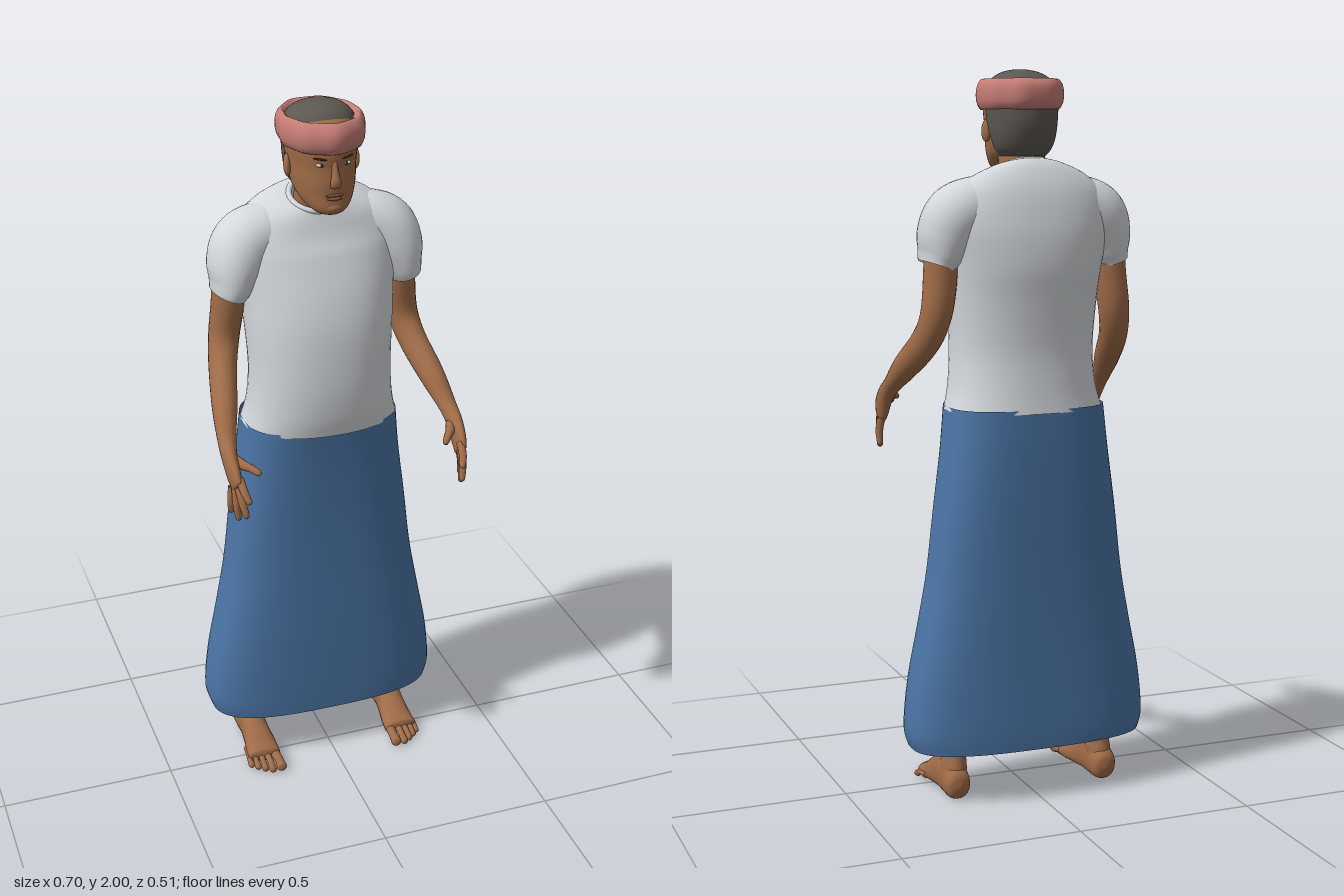
import * as THREE from 'three';

const mat = (name, color) => new THREE.MeshStandardMaterial({ name, color, side: THREE.DoubleSide });

// Smooth interpolation through a list of equally spaced cross-sections
function sample(pts, t) {
  const last = pts.length - 1, u = t * last, i = Math.min(Math.floor(u), last - 1), f = u - i;
  const at = k => pts[Math.min(Math.max(k, 0), last)];
  const [a, b, c, d] = [at(i - 1), at(i), at(i + 1), at(i + 2)];
  return b.map((_, k) => b[k] + 0.5 * f * (c[k] - a[k]
    + f * (2 * a[k] - 5 * b[k] + 4 * c[k] - d[k] + f * (3 * (b[k] - c[k]) + d[k] - a[k]))));
}

// Skin over cross-sections [x, y, z, half width, half depth, squareness]
// level: sections stay horizontal; otherwise they follow the path
function loft(pts, { level = false, rows = 32, cols = 32, arc = null, start = 0, end = 0, n = 2 } = {}) {
  const pos = [], index = [], X = new THREE.Vector3(1, 0, 0);
  const [a0, a1] = arc || [0, Math.PI * 2], ring = arc ? cols + 1 : cols;
  for (let i = 0; i <= rows; i++) {
    const t = i / rows, p = sample(pts, t);
    const T = new THREE.Vector3(0, 1, 0);
    if (!level) {
      const q0 = sample(pts, Math.max(t - 0.01, 0)), q1 = sample(pts, Math.min(t + 0.01, 1));
      T.set(q1[0] - q0[0], q1[1] - q0[1], q1[2] - q0[2]).normalize();
    }
    const S = X.clone().addScaledVector(T, -T.x).normalize();
    const N = S.clone().cross(T);
    let r = 1;
    if (start && t < start) r = Math.sqrt(1 - (1 - t / start) ** 2);
    if (end && t > 1 - end) r = Math.sqrt(Math.max(0, 1 - ((t - 1 + end) / end) ** 2));
    const e = 2 / (p[5] || n);
    for (let j = 0; j < ring; j++) {
      const a = a0 + (a1 - a0) * j / cols, c = Math.cos(a), s = Math.sin(a);
      const u = Math.sign(c) * Math.abs(c) ** e * p[3] * r;
      const v = Math.sign(s) * Math.abs(s) ** e * p[4] * r;
      pos.push(p[0] + S.x * u + N.x * v, p[1] + S.y * u + N.y * v, p[2] + S.z * u + N.z * v);
      if (i < rows && (!arc || j < cols)) {
        const k = i * ring + j, m = i * ring + (j + 1) % ring;
        index.push(k, k + ring, m, m, k + ring, m + ring);
      }
    }
  }
  const g = new THREE.BufferGeometry();
  g.setAttribute('position', new THREE.Float32BufferAttribute(pos, 3));
  g.setIndex(index);
  g.computeVertexNormals();
  return g;
}

// Level section from height, half width, front z and back z
const lev = (y, w, front, back) => [0, y, (front + back) / 2, w, (front - back) / 2];

function moveVertices(g, rule) {
  const p = g.attributes.position, v = new THREE.Vector3();
  for (let i = 0; i < p.count; i++) {
    rule(v.fromBufferAttribute(p, i));
    p.setXYZ(i, v.x, v.y, v.z);
  }
  g.computeVertexNormals();
  return g;
}

export function createModel() {
  const model = new THREE.Group();
  const skin = mat('skin', 0xa06c48), shirt = mat('shirt white', 0xd4d8dc), blue = mat('skirt blue', 0x4b74a5);
  const pink = mat('headband pink', 0xc67d76), hairMat = mat('hair grey', 0x5c5751);
  const white = mat('eye white', 0xd8d2c8), dark = mat('eye dark', 0x33271f), lip = mat('lip brown', 0x84503a);
  const add = (name, geo, m, parent = model) => {
    const mesh = new THREE.Mesh(geo, m);
    mesh.name = name;
    parent.add(mesh);
    return mesh;
  };
  const ball = (name, m, x, y, z, sx, sy, sz) => {
    const b = add(name, new THREE.SphereGeometry(1, 16, 12), m);
    b.position.set(x, y, z);
    b.scale.set(sx, sy, sz);
    return b;
  };

  // Long skirt, open at the hem
  add('skirt', loft([
    lev(0.145, 0.338, 0.044, -0.242), lev(0.2, 0.35, 0.045, -0.243), lev(0.33, 0.337, 0.045, -0.24),
    lev(0.48, 0.307, 0.044, -0.238), lev(0.63, 0.279, 0.042, -0.238), lev(0.8, 0.258, 0.043, -0.24),
    lev(0.97, 0.234, 0.05, -0.242), lev(1.095, 0.22, 0.06, -0.241),
  ], { level: true, rows: 40, cols: 56, n: 2.8 }), blue);

  // Shirt body, its neckline dipping at the front
  const body = loft([
    lev(1.085, 0.223, 0.072, -0.246), lev(1.15, 0.207, 0.084, -0.238), lev(1.25, 0.2, 0.088, -0.232),
    lev(1.38, 0.207, 0.078, -0.242), lev(1.48, 0.216, 0.055, -0.253), lev(1.58, 0.23, 0.018, -0.248),
    lev(1.65, 0.222, -0.008, -0.228), lev(1.7, 0.178, -0.022, -0.2), lev(1.73, 0.115, -0.03, -0.175),
    lev(1.74, 0.076, -0.03, -0.158),
  ], { level: true, rows: 44, cols: 48, n: 2.25 });
  add('shirtBody', moveVertices(body, v => {
    v.y -= 0.45 * Math.max(0, (v.y - 1.6) / 0.14) * (v.z + 0.1);
  }), shirt);
  const collar = add('collar', new THREE.TorusGeometry(0.072, 0.008, 10, 36), shirt);
  collar.position.set(0, 1.734, -0.094);
  collar.rotation.x = Math.PI / 2 + 0.42;
  collar.scale.set(1.05, 0.95, 1);

  // Neck and head
  add('neck', loft([[0, 1.64, -0.11, 0.078, 0.06], [0, 1.7, -0.095, 0.068, 0.056], [0, 1.75, -0.08, 0.065, 0.058],
    [0, 1.8, -0.07, 0.064, 0.06]], { level: true }), skin);
  add('head', loft([
    lev(1.72, 0.012, 0.035, 0.005), lev(1.727, 0.038, 0.05, -0.02), lev(1.745, 0.06, 0.056, -0.06),
    lev(1.775, 0.079, 0.055, -0.12), lev(1.81, 0.087, 0.057, -0.152), lev(1.85, 0.091, 0.055, -0.17),
    lev(1.89, 0.095, 0.058, -0.176), lev(1.93, 0.095, 0.05, -0.172), lev(1.965, 0.076, 0.024, -0.145),
    lev(1.985, 0.035, -0.02, -0.1), lev(1.988, 0.002, -0.058, -0.062),
  ], { level: true, rows: 44, cols: 40 }), skin);
  add('nose', loft([[0, 1.875, 0.05, 0.007, 0.006], [0, 1.845, 0.058, 0.009, 0.009], [0, 1.817, 0.064, 0.015, 0.012],
    [0, 1.803, 0.058, 0.014, 0.009]], { rows: 14, cols: 14, start: 0.1, end: 0.15 }), skin);
  ball('upperLip', lip, 0, 1.779, 0.053, 0.025, 0.004, 0.008);
  ball('lowerLip', lip, 0, 1.77, 0.053, 0.021, 0.005, 0.008);
  ball('chin', skin, 0, 1.743, 0.045, 0.025, 0.015, 0.014);

  // Hair cap above the band, cropped hair below it at the back
  add('hairTop', loft([
    lev(1.9, 0.099, 0.02, -0.18), lev(1.94, 0.099, 0.026, -0.178), lev(1.97, 0.085, 0.016, -0.158),
    lev(1.99, 0.058, -0.008, -0.125), lev(1.999, 0.025, -0.035, -0.09), lev(2, 0.001, -0.06, -0.062),
  ], { level: true }), hairMat);
  add('hairBack', loft([
    lev(1.77, 0.064, -0.03, -0.138), lev(1.79, 0.08, -0.015, -0.155), lev(1.82, 0.09, 0, -0.169),
    lev(1.86, 0.097, 0.03, -0.18), lev(1.92, 0.101, 0.04, -0.182),
  ], { level: true, arc: [Math.PI * 0.97, Math.PI * 2.03] }), hairMat);

  // Rolled headband with a slightly lumpy outline
  const band = loft([
    lev(1.905, 0.088, 0.045, -0.165), lev(1.893, 0.1, 0.066, -0.182), lev(1.91, 0.112, 0.08, -0.198),
    lev(1.937, 0.115, 0.084, -0.202), lev(1.96, 0.111, 0.077, -0.198), lev(1.975, 0.1, 0.06, -0.182),
    lev(1.962, 0.088, 0.035, -0.165),
  ], { level: true, rows: 24, cols: 60 });
  add('headband', moveVertices(band, v => {
    const k = 1 + 0.018 * Math.cos(9 * Math.atan2(v.x, v.z + 0.06));
    v.x *= k;
    v.z = -0.06 + (v.z + 0.06) * k;
  }), pink);

  for (const s of [1, -1]) {
    const side = s > 0 ? 'left' : 'right';
    const limb = (name, pts, m, opts) => add(side + name, loft(pts.map(([x, ...r]) => [x * s, ...r]), opts), m);

    // Face details
    ball(side + 'Eye', white, 0.034 * s, 1.862, 0.043, 0.014, 0.0055, 0.009);
    ball(side + 'Iris', dark, 0.034 * s, 1.862, 0.048, 0.005, 0.005, 0.005);
    const brow = ball(side + 'Brow', dark, 0.036 * s, 1.879, 0.046, 0.02, 0.003, 0.008);
    brow.rotation.set(0, 0.3 * s, 0.1 * s);
    const ear = ball(side + 'Ear', skin, 0.094 * s, 1.838, -0.055, 0.01, 0.031, 0.019);
    ear.rotation.set(-0.15, 0.25 * s, 0);

    // Puffed short sleeve
    limb('Sleeve', [[0.09, 1.64, -0.12, 0.075, 0.075], [0.15, 1.635, -0.118, 0.083, 0.083],
      [0.2, 1.61, -0.112, 0.088, 0.09], [0.228, 1.56, -0.102, 0.08, 0.09], [0.244, 1.51, -0.097, 0.06, 0.084],
      [0.255, 1.48, -0.097, 0.048, 0.074]], shirt, { start: 0.15 });

    // Arm running into the palm
    limb('Arm', [[0.243, 1.58, -0.105, 0.045, 0.055], [0.248, 1.46, -0.112, 0.046, 0.05],
      [0.262, 1.35, -0.115, 0.043, 0.044], [0.279, 1.275, -0.075, 0.039, 0.045], [0.303, 1.2, 0.018, 0.035, 0.039],
      [0.32, 1.14, 0.09, 0.026, 0.026], [0.326, 1.105, 0.135, 0.021, 0.032], [0.325, 1.068, 0.172, 0.017, 0.04],
      [0.322, 1.04, 0.2, 0.012, 0.034]], skin, { rows: 48, cols: 20, end: 0.04 });

    // Fingers: base, then tip
    const fingers = [[0.318, 1.072, 0.2, 0.304, 1.018, 0.252], [0.321, 1.056, 0.193, 0.31, 0.968, 0.238],
      [0.325, 1.043, 0.182, 0.323, 0.945, 0.2], [0.33, 1.035, 0.167, 0.334, 0.955, 0.165]];
    fingers.forEach(([x, y, z, u, v, w], i) => limb('Finger' + (i + 1), [[x, y, z, 0.012, 0.012],
      [(x + u) / 2 + 0.003, (y + v) / 2, (z + w) / 2 + 0.004, 0.011, 0.011], [u, v, w, 0.008, 0.008]],
    skin, { rows: 14, cols: 10, end: 0.15 }));
    limb('Thumb', [[0.318, 1.098, 0.125, 0.014, 0.02], [0.3, 1.096, 0.168, 0.013, 0.015],
      [0.283, 1.094, 0.193, 0.011, 0.011], [0.264, 1.086, 0.22, 0.008, 0.008]], skin,
    { rows: 18, cols: 10, start: 0.1, end: 0.12 });

    // Leg, mostly under the skirt
    limb('Leg', [[0.222, 0.03, -0.13, 0.03, 0.04], [0.22, 0.085, -0.118, 0.035, 0.05],
      [0.217, 0.15, -0.113, 0.033, 0.047], [0.205, 0.32, -0.12, 0.045, 0.055], [0.175, 0.55, -0.105, 0.055, 0.06],
      [0.12, 1, -0.09, 0.08, 0.085]], skin, { level: true, cols: 20 });

    // Foot, flat on the ground, and toes
    const foot = limb('Foot', [[0.222, 0.04, -0.182, 0.032, 0.036], [0.222, 0.047, -0.14, 0.036, 0.05],
      [0.221, 0.058, -0.08, 0.037, 0.06], [0.22, 0.045, -0.03, 0.041, 0.046], [0.219, 0.031, 0.015, 0.047, 0.031],
      [0.22, 0.022, 0.058, 0.05, 0.02]], skin, { cols: 20, start: 0.12, end: 0.06, n: 2.3 });
    moveVertices(foot.geometry, v => { v.y = Math.max(v.y, 0.002); });
    const toes = [[0.184, 0.118, 0.015], [0.211, 0.116, 0.011], [0.231, 0.104, 0.01], [0.249, 0.089, 0.0095],
      [0.265, 0.073, 0.009]];
    toes.forEach(([x, z, r], i) => limb('Toe' + (i + 1), [[x * 0.9 + 0.022, 0.022, z - 0.075, r, r],
      [x, 0.02, z - 0.035, r * 0.85, r * 0.9], [x, r, z - 0.013, r, r], [x, r, z, r, r * 0.9]],
    skin, { rows: 16, cols: 12, end: 0.25 }));
  }
  return model;
}
